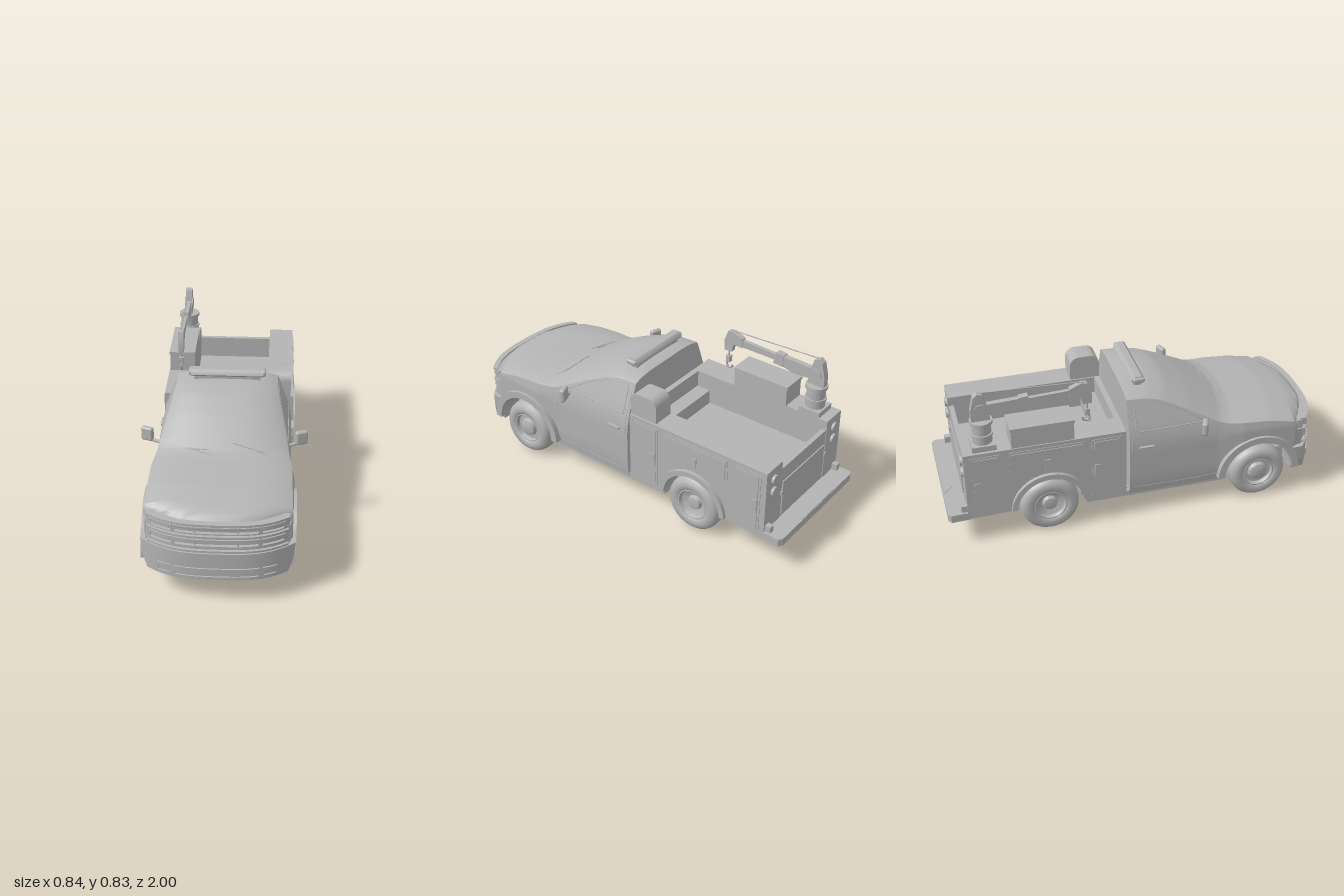
import * as THREE from 'three';
import { toCreasedNormals } from 'three/addons/utils/BufferGeometryUtils.js';
import { RoundedBoxGeometry } from 'three/addons/geometries/RoundedBoxGeometry.js';

const grey = new THREE.MeshStandardMaterial({ color: 0xb4b4b4, side: THREE.DoubleSide });
grey.name = 'bodyGrey';
const SIDES = [1, -1];

// Linear lookup in a short table of [key, value] pairs
function lookup(table, v) {
  if (v <= table[0][0]) return table[0][1];
  for (let i = 1; i < table.length; i++) {
    const [a, fa] = table[i - 1], [b, fb] = table[i];
    if (v <= b) return fa + (fb - fa) * (v - a) / (b - a);
  }
  return table[table.length - 1][1];
}
const ROOFLINE = [[-0.06, 0.685], [0, 0.692], [0.1, 0.688], [0.18, 0.67], [0.3, 0.615], [0.48, 0.518], [0.53, 0.505],
  [0.75, 0.49], [0.88, 0.465], [0.94, 0.445], [0.97, 0.405]];
const WIDTH = [[0.13, 0.328], [0.2, 0.338], [0.42, 0.338], [0.5, 0.322], [0.66, 0.262], [0.69, 0.25]];
const FENDER = [[0.42, 0], [0.55, 0.016], [0.88, 0.012], [0.97, 0]];
const FRONT_AXLE = 0.64, REAR_AXLE = -0.48, WHEEL_Y = 0.152, ARCH = 0.19;
const halfWidth = (y, z) => lookup(WIDTH, y) + lookup(FENDER, z);
const noseBend = (x) => 0.1 * Math.pow(Math.abs(x) / 0.35, 3);

export function createModel() {
  const root = new THREE.Group();
  root.name = 'serviceTruck';
  const add = (name, geo, x = 0, y = 0, z = 0) => {
    const m = new THREE.Mesh(geo, grey);
    m.name = name;
    m.position.set(x, y, z);
    root.add(m);
    return m;
  };
  // Box given by its limits
  const box = (name, x0, x1, y0, y1, z0, z1) => add(name, new THREE.BoxGeometry(Math.abs(x1 - x0), y1 - y0, Math.abs(z1 - z0)),
    (x0 + x1) / 2, (y0 + y1) / 2, (z0 + z1) / 2);
  // Outline of [z, y] points extruded from x0 to x1
  const extrudeX = (name, pts, x0, x1) => {
    const shape = new THREE.Shape(pts.map(([z, y]) => new THREE.Vector2(-z, y)));
    const g = new THREE.ExtrudeGeometry(shape, { depth: x1 - x0, bevelEnabled: false }).rotateY(Math.PI / 2);
    return add(name, toCreasedNormals(g, 0.6), x0);
  };
  const tube = (name, pts, r, closed = false, curved = false) => {
    const v = pts.map((p) => new THREE.Vector3(...p));
    const path = new THREE.CatmullRomCurve3(v, closed, 'catmullrom', curved ? 0.5 : 0.02);
    return add(name, new THREE.TubeGeometry(path, pts.length * 8, r, 6, closed));
  };
  const arc = (cz, cy, r, a0, a1, n = 24) => Array.from({ length: n + 1 }, (_, i) => {
    const a = a0 + (a1 - a0) * i / n;
    return [cz + r * Math.cos(a), cy + r * Math.sin(a)];
  });

  // Cab, hood and fenders: one loft of sections along z, with open wheel arches
  const stations = [];
  for (let i = 0; i <= 50; i++) stations.push(-0.06 + 1.03 * i / 50);
  for (let i = 0; i <= 20; i++) stations.push(FRONT_AXLE - ARCH * Math.cos(Math.PI * i / 20));
  stations.push(FRONT_AXLE - ARCH - 0.001, FRONT_AXLE + ARCH + 0.001);
  stations.sort((a, b) => a - b);
  const pos = [], idx = [], NS = 10, NT = 24, RING = 2 * NS + NT + 1;
  for (const z of stations) {
    const d = Math.abs(z - FRONT_AXLE);
    const low = d <= ARCH ? WHEEL_Y + Math.sqrt(Math.max(0, ARCH * ARCH - d * d)) : 0.13;
    const drop = 0.03, shoulder = lookup(ROOFLINE, z + 0.06) - drop, w = halfWidth(shoulder, z);
    const ring = [];
    for (let j = 0; j < NS; j++) {
      const y = low + (shoulder - low) * j / NS;
      ring.push([halfWidth(y, z), y]);
    }
    for (let j = 0; j <= NT; j++) {
      const u = Math.cos(Math.PI * j / NT);
      ring.push([w * u, lookup(ROOFLINE, z + 0.06 * u * u) - drop * u ** 4]);
    }
    for (let j = NS - 1; j >= 0; j--) ring.push([-ring[j][0], ring[j][1]]);
    const ramp = THREE.MathUtils.clamp((z - 0.83) / 0.12, 0, 1);
    for (const [x, y] of ring) pos.push(x, y, z - ramp * noseBend(x));
  }
  const rows = stations.length, last = (rows - 1) * RING;
  for (let i = 0; i < rows - 1; i++) for (let j = 0; j < RING; j++) {
    const a = i * RING + j, b = i * RING + (j + 1) % RING;
    idx.push(a, b, b + RING, a, b + RING, a + RING);
  }
  pos.push(0, 0.35, -0.06, 0, 0.3, 0.95);
  for (let j = 0; j < RING; j++) {
    const k = (j + 1) % RING;
    idx.push(rows * RING, k, j, rows * RING + 1, last + j, last + k);
  }
  const cab = new THREE.BufferGeometry();
  cab.setAttribute('position', new THREE.Float32BufferAttribute(pos, 3));
  cab.setIndex(idx);
  add('cabAndHood', toCreasedNormals(cab, 0.5));

  // Nose pieces: boxes bent to the curve of the front
  const noseBox = (name, x0, x1, y0, y1, front, back, taper = 0, wrap = false) => {
    const g = new THREE.BoxGeometry(x1 - x0, y1 - y0, front - back, 20, 1, 1);
    g.translate((x0 + x1) / 2, (y0 + y1) / 2, (front + back) / 2);
    const p = g.attributes.position;
    for (let i = 0; i < p.count; i++) {
      const f = 1 - taper * (y1 - p.getY(i)) / (y1 - y0), x = p.getX(i) * f;
      const bent = !wrap || p.getZ(i) > (front + back) / 2;
      p.setX(i, x);
      if (bent) p.setZ(i, p.getZ(i) - noseBend(x));
    }
    return add(name, toCreasedNormals(g, 0.5));
  };
  const noseFrame = (name, x0, x1, y0, y1, f, t = 0.007) => {
    noseBox(name, x0, x1, y0, y0 + t, f, f - 0.02);
    noseBox(name, x0, x1, y1 - t, y1, f, f - 0.02);
    noseBox(name, x0, x0 + t, y0, y1, f, f - 0.02);
    noseBox(name, x1 - t, x1, y0, y1, f, f - 0.02);
  };
  noseBox('frontFascia', -0.335, 0.335, 0.27, 0.425, 0.968, 0.85, 0, true);
  noseBox('frontBumperTop', -0.365, 0.365, 0.2, 0.278, 0.99, 0.83, 0.02, true);
  noseBox('frontBumper', -0.358, 0.358, 0.13, 0.2, 0.99, 0.83, 0.07, true);
  for (const y of [0.283, 0.362, 0.428]) noseBox('grilleBar', -0.33, 0.33, y - 0.006, y + 0.006, 0.982, 0.95);
  for (const [y0, y1] of [[0.31, 0.352], [0.38, 0.42]]) {
    noseFrame('grilleFrame', -0.2, 0.2, y0, y1, 0.984);
    for (const x of [-0.1, 0.1]) noseBox('grillePost', x - 0.003, x + 0.003, y0, y1, 0.982, 0.96);
    for (const s of SIDES) {
      const [a, b] = s > 0 ? [0.205, 0.315] : [-0.315, -0.205];
      noseFrame('headlightFrame', a, b, y0, y1, 0.984);
      noseBox('headlight', a + 0.014, b - 0.014, y0 + 0.012, y1 - 0.012, 0.977, 0.96);
    }
  }
  noseFrame('bumperIntake', -0.2, 0.2, 0.147, 0.197, 0.997, 0.005);
  for (const s of SIDES) noseFrame('fogLightFrame', s > 0 ? 0.215 : -0.28, s > 0 ? 0.28 : -0.215, 0.15, 0.197, 0.997, 0.005);

  // Windscreen wipers
  const onGlass = (x, z) => [x, lookup(ROOFLINE, z + 0.06 * (x / 0.3) ** 2) - 0.03 * (x / 0.3) ** 4 + 0.005, z];
  for (const x of [-0.27, 0.05]) {
    tube('wiperBlade', [onGlass(x, 0.44), onGlass(x + 0.1, 0.46), onGlass(x + 0.2, 0.475)], 0.003);
    tube('wiperArm', [onGlass(x + 0.1, 0.46), onGlass(x + 0.15, 0.48), onGlass(x + 0.22, 0.51)], 0.003);
  }

  // Cab sides
  for (const s of SIDES) {
    const skin = ([z, y]) => [s * (halfWidth(y, z) - 0.0005), y, z];
    tube('windowSeal', [[-0.02, 0.5], [-0.02, 0.65], [0.1, 0.635], [0.22, 0.585], [0.35, 0.505]].map(skin), 0.003, true);
    tube('doorSeam', [[-0.045, 0.62], [-0.045, 0.5], [-0.045, 0.42], [-0.045, 0.17], [0.2, 0.165], [0.41, 0.17], [0.42, 0.3], [0.42, 0.42], [0.4, 0.47]].map(skin), 0.002);
    box('doorHandle', s * 0.33, s * 0.35, 0.408, 0.42, -0.01, 0.065);
    const mirror = add('mirror', new RoundedBoxGeometry(0.064, 0.075, 0.03, 3, 0.012), s * 0.386, 0.515, 0.32);
    mirror.rotation.y = s * 0.35;
    tube('mirrorArm', [[s * 0.31, 0.48, 0.345], [s * 0.345, 0.482, 0.335], [s * 0.385, 0.49, 0.322]], 0.009);
    // Arch flares
    const [a, b] = s > 0 ? [0.325, 0.368] : [-0.368, -0.325];
    extrudeX('frontArchFlare', [...arc(FRONT_AXLE, WHEEL_Y, 0.225, 0, Math.PI), ...arc(FRONT_AXLE, WHEEL_Y, 0.188, Math.PI, 0)], a, b);
    const [c, e] = s > 0 ? [0.325, 0.36] : [-0.36, -0.325];
    extrudeX('rearArchFlare', [...arc(REAR_AXLE, WHEEL_Y, 0.2, 0.06, Math.PI - 0.06), ...arc(REAR_AXLE, WHEEL_Y, 0.172, Math.PI - 0.06, 0.06)], c, e);
    box('sill', s * 0.24, s * 0.325, 0.115, 0.145, -0.29, 0.45);
  }

  // Roof light bar
  const bar = [[-0.03, 0.708], [-0.036, 0.716], [-0.03, 0.73], [-0.018, 0.74], [0.018, 0.74], [0.03, 0.73], [0.036, 0.716], [0.03, 0.708]];
  extrudeX('lightBar', bar, -0.185, 0.185).position.z = 0.025;
  for (const s of SIDES) add('lightBarEnd', new RoundedBoxGeometry(0.03, 0.028, 0.06, 2, 0.01), s * 0.184, 0.722, 0.025);
  box('lightBarFoot', -0.17, 0.17, 0.68, 0.71, 0.005, 0.045);

  // Service bed: side lockers with arches, floor, walls and doors
  const locker = [[-0.08, 0.145], [-0.08, 0.53], [-0.9, 0.53], [-0.9, 0.145],
    ...arc(REAR_AXLE, WHEEL_Y, 0.178, Math.PI, 0)];
  for (const s of SIDES) {
    extrudeX('sideLocker', locker, s > 0 ? 0.205 : -0.34, s > 0 ? 0.34 : -0.205);
    for (const [z0, z1, y0, y1, hz, hy] of [[-0.26, -0.105, 0.17, 0.51, -0.232, 0.335], [-0.68, -0.29, 0.375, 0.51, -0.487, 0.415], [-0.87, -0.72, 0.17, 0.51, -0.842, 0.335]]) {
      box('lockerDoorRim', s * 0.338, s * 0.343, y0, y1, z0, z1);
      box('lockerDoor', s * 0.338, s * 0.347, y0 + 0.012, y1 - 0.012, z0 + 0.012, z1 - 0.012);
      box('lockerLatch', s * 0.345, s * 0.352, hy - 0.027, hy + 0.027, hz - 0.014, hz + 0.014);
    }
    for (const y of [0.465, 0.395]) {
      const lamp = add('tailLamp', new THREE.CylinderGeometry(0.024, 0.027, 0.014, 24), s * 0.275, y, -0.905);
      lamp.rotation.x = -Math.PI / 2;
    }
    box('tailgateHinge', s * 0.195, s * 0.21, 0.33, 0.35, -0.908, -0.89);
    box('bumperPost', s * 0.3, s * 0.33, 0.17, 0.22, -0.93, -0.895);
  }
  box('bedFloor', -0.21, 0.21, 0.34, 0.36, -0.9, -0.08);
  box('bedFrontWall', -0.21, 0.21, 0.17, 0.53, -0.11, -0.08);
  box('bedFrontLedge', -0.2, 0.2, 0.355, 0.44, -0.19, -0.105);
  box('tailgate', -0.21, 0.21, 0.17, 0.48, -0.897, -0.872);
  box('tailgatePanel', -0.19, 0.19, 0.2, 0.4, -0.903, -0.89);

  // Rear step bumper with chamfered corners and a recessed tread
  const step = new THREE.Shape([[-0.34, 0.89], [0.34, 0.89], [0.345, 0.985], [0.325, 1], [-0.325, 1], [-0.345, 0.985]].map((p) => new THREE.Vector2(...p)));
  add('rearBumper', new THREE.ExtrudeGeometry(step, { depth: 0.042, bevelEnabled: false }).rotateX(-Math.PI / 2), 0, 0.143);
  const tread = new THREE.Shape([[-0.15, 0.997], [-0.11, 0.95], [0.11, 0.95], [0.15, 0.997]].map((p) => new THREE.Vector2(...p)));
  add('bumperTread', new THREE.ExtrudeGeometry(tread, { depth: 0.005, bevelEnabled: false }).rotateX(-Math.PI / 2), 0, 0.183);

  // Boxes on top of the lockers
  extrudeX('roundedBin', [[-0.08, 0.53], ...arc(-0.13, 0.61, 0.05, 0, Math.PI / 2, 8), ...arc(-0.19, 0.61, 0.05, Math.PI / 2, Math.PI, 8), [-0.24, 0.53]], 0.212, 0.33);
  box('toolBox', -0.335, -0.2, 0.53, 0.63, -0.66, -0.345);
  box('toolBoxLid', -0.338, -0.197, 0.628, 0.643, -0.665, -0.34);

  // Crane
  const CX = -0.265, CZ = -0.79;
  box('craneBase', CX - 0.06, CX + 0.06, 0.53, 0.56, CZ - 0.06, CZ + 0.06);
  for (const [r, y0, y1] of [[0.05, 0.56, 0.6], [0.056, 0.6, 0.612], [0.048, 0.612, 0.665], [0.057, 0.665, 0.682]])
    add('craneColumn', new THREE.CylinderGeometry(r, r, y1 - y0, 28), CX, (y0 + y1) / 2, CZ);
  extrudeX('craneMast', [[-0.745, 0.68], [-0.75, 0.745], [-0.775, 0.825], [-0.8, 0.832], [-0.82, 0.815], [-0.838, 0.74], [-0.838, 0.68]], CX - 0.018, CX + 0.018);
  const pivot = add('boomPivot', new THREE.CylinderGeometry(0.03, 0.03, 0.048, 20), CX, 0.745, -0.79);
  pivot.rotation.z = Math.PI / 2;
  extrudeX('boomOuter', [[-0.8, 0.71], [-0.8, 0.765], [-0.57, 0.775], [-0.57, 0.725], [-0.66, 0.7]], CX - 0.014, CX + 0.014);
  extrudeX('boomInner', [[-0.6, 0.735], [-0.6, 0.765], [-0.31, 0.778], [-0.31, 0.738]], CX - 0.01, CX + 0.01);
  extrudeX('boomCollar', [[-0.6, 0.715], [-0.6, 0.78], [-0.555, 0.785], [-0.54, 0.72]], CX - 0.017, CX + 0.017);
  extrudeX('boomHead', [[-0.35, 0.735], [-0.35, 0.785], [-0.29, 0.81], [-0.26, 0.805], [-0.24, 0.75], [-0.24, 0.69], [-0.285, 0.69], [-0.295, 0.735]], CX - 0.014, CX + 0.014);
  tube('craneCable', [[CX, 0.81, -0.275], [CX, 0.82, -0.53], [CX, 0.83, -0.795]], 0.003);
  tube('hookCable', [[CX, 0.7, -0.262], [CX, 0.67, -0.262], [CX, 0.64, -0.262]], 0.005);
  box('hookBlock', CX - 0.012, CX + 0.012, 0.62, 0.655, -0.274, -0.25);
  tube('hook', [[CX, 0.625, -0.262], [CX, 0.605, -0.25], [CX, 0.585, -0.262], [CX, 0.59, -0.282], [CX, 0.602, -0.285]], 0.006, false, true);

  // Underbody
  box('cabFloor', -0.3, 0.3, 0.125, 0.15, -0.29, 0.45);
  box('rearUnderPanel', -0.33, 0.33, 0.145, 0.165, -0.98, -0.67);
  box('engineTray', -0.23, 0.23, 0.1, 0.2, 0.44, 0.84);
  for (const s of SIDES) box('frameRail', s * 0.085, s * 0.115, 0.1, 0.2, -0.7, 0.5);
  for (const z of [-0.28, 0.1, 0.4]) box('crossMember', -0.24, 0.24, 0.103, 0.13, z - 0.02, z + 0.02);
  for (const z of [REAR_AXLE, FRONT_AXLE]) {
    const axle = add('axle', new THREE.CylinderGeometry(0.025, 0.025, 0.5, 16), 0, WHEEL_Y, z);
    axle.rotation.z = Math.PI / 2;
  }
  add('differential', new THREE.SphereGeometry(0.058, 20, 14), 0, WHEEL_Y, REAR_AXLE);
  const shaft = add('driveShaft', new THREE.CylinderGeometry(0.018, 0.018, 0.8, 12), 0, 0.14, -0.06);
  shaft.rotation.x = Math.PI / 2;

  // Wheels: tyre, rim and hub in one lathe
  const wheel = (name, x, z, width, hub) => {
    const h = width / 2;
    const half = [[0.152, 0.3 * h], [0.146, 0.68 * h], [0.132, 0.93 * h], [0.11, h], [0.092, 0.95 * h], [0.086, 0.86 * h], [0.08, 0.88 * h], [0.074, 0.55 * h]];
    const pts = [[0, -0.4 * h], ...half.map(([r, y]) => [r, -y]).reverse(), ...half, ...hub.map(([r, y]) => [r, y * h])];
    const g = new THREE.LatheGeometry(pts.map((p) => new THREE.Vector2(...p)), 40);
    add(name, toCreasedNormals(g, 0.7), x, WHEEL_Y, z).rotation.z = -Math.sign(x) * Math.PI / 2;
  };
  const frontHub = [[0.052, 0.55], [0.046, 0.85], [0.03, 0.95], [0, 0.97]];
  const rearHub = [[0.05, 0.35], [0.04, 0.3], [0.034, 0.65], [0.02, 0.7], [0, 0.7]];
  for (const s of SIDES) {
    wheel('frontWheel', s * 0.305, FRONT_AXLE, 0.125, frontHub);
    wheel('rearOuterWheel', s * 0.3, REAR_AXLE, 0.11, rearHub);
    wheel('rearInnerWheel', s * 0.19, REAR_AXLE, 0.105, rearHub);
  }
  return root;
}
